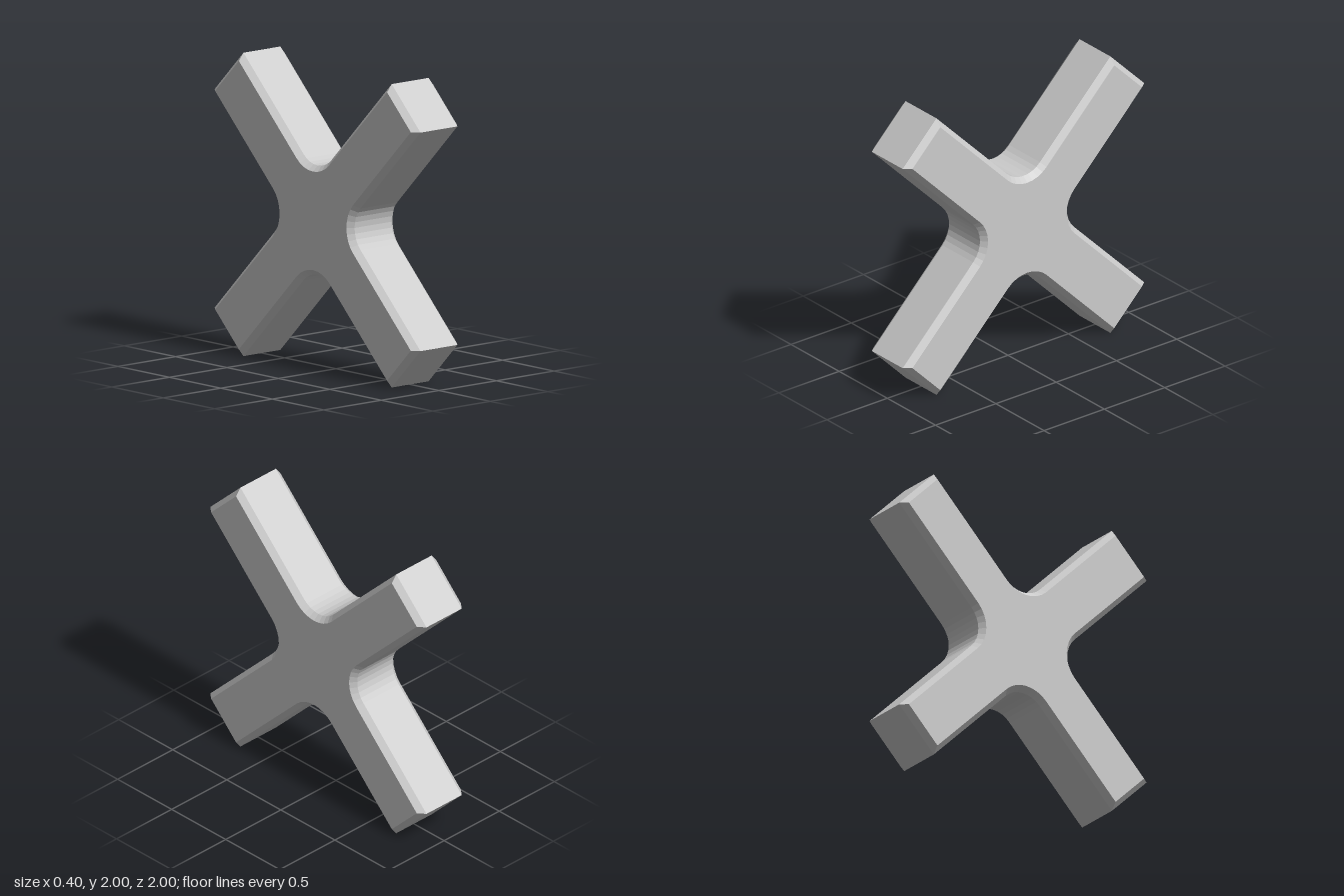
import * as THREE from 'three';

const HALF_WIDTH = 0.198;  // half the width of an arm
const REACH = 1.217;       // centre to the end of an arm
const FILLET = 0.193;      // radius between neighbouring arms
const FILLET_STEPS = 8;
const BEVEL = 0.035;       // chamfer inset on the broad faces
const BEVEL_DEPTH = 0.04;
const THICKNESS = 0.4;

// Outline of four equal diagonal arms, counter-clockwise
function crossOutline() {
  const centre = new THREE.Vector2();
  const c = HALF_WIDTH + FILLET;
  const points = [];
  for (let arm = 0; arm < 4; arm++) {
    const quarter = [
      new THREE.Vector2(REACH, -HALF_WIDTH),
      new THREE.Vector2(REACH, HALF_WIDTH),
    ];
    // Fillet into the next arm
    for (let i = 0; i <= FILLET_STEPS; i++) {
      const a = -Math.PI / 2 - (i / FILLET_STEPS) * (Math.PI / 2);
      quarter.push(new THREE.Vector2(c + FILLET * Math.cos(a), c + FILLET * Math.sin(a)));
    }
    const turn = Math.PI / 4 + (arm * Math.PI) / 2;
    points.push(...quarter.map((p) => p.rotateAround(centre, turn)));
  }
  return new THREE.Shape(points);
}

export function createModel() {
  const group = new THREE.Group();
  group.name = 'cross';

  // Extruded cross, chamfered on both broad faces, thickness along x
  const depth = THICKNESS - 2 * BEVEL_DEPTH;
  const geometry = new THREE.ExtrudeGeometry(crossOutline(), {
    depth,
    bevelEnabled: true,
    bevelSegments: 1,
    bevelSize: BEVEL,
    bevelOffset: -BEVEL,
    bevelThickness: BEVEL_DEPTH,
  });
  geometry.translate(0, 0, -depth / 2);
  geometry.rotateY(Math.PI / 2);

  const material = new THREE.MeshStandardMaterial({ color: 0xcccccc, flatShading: true });
  const body = new THREE.Mesh(geometry, material);
  body.name = 'crossBody';
  body.position.y = 1;
  group.add(body);
  return group;
}
